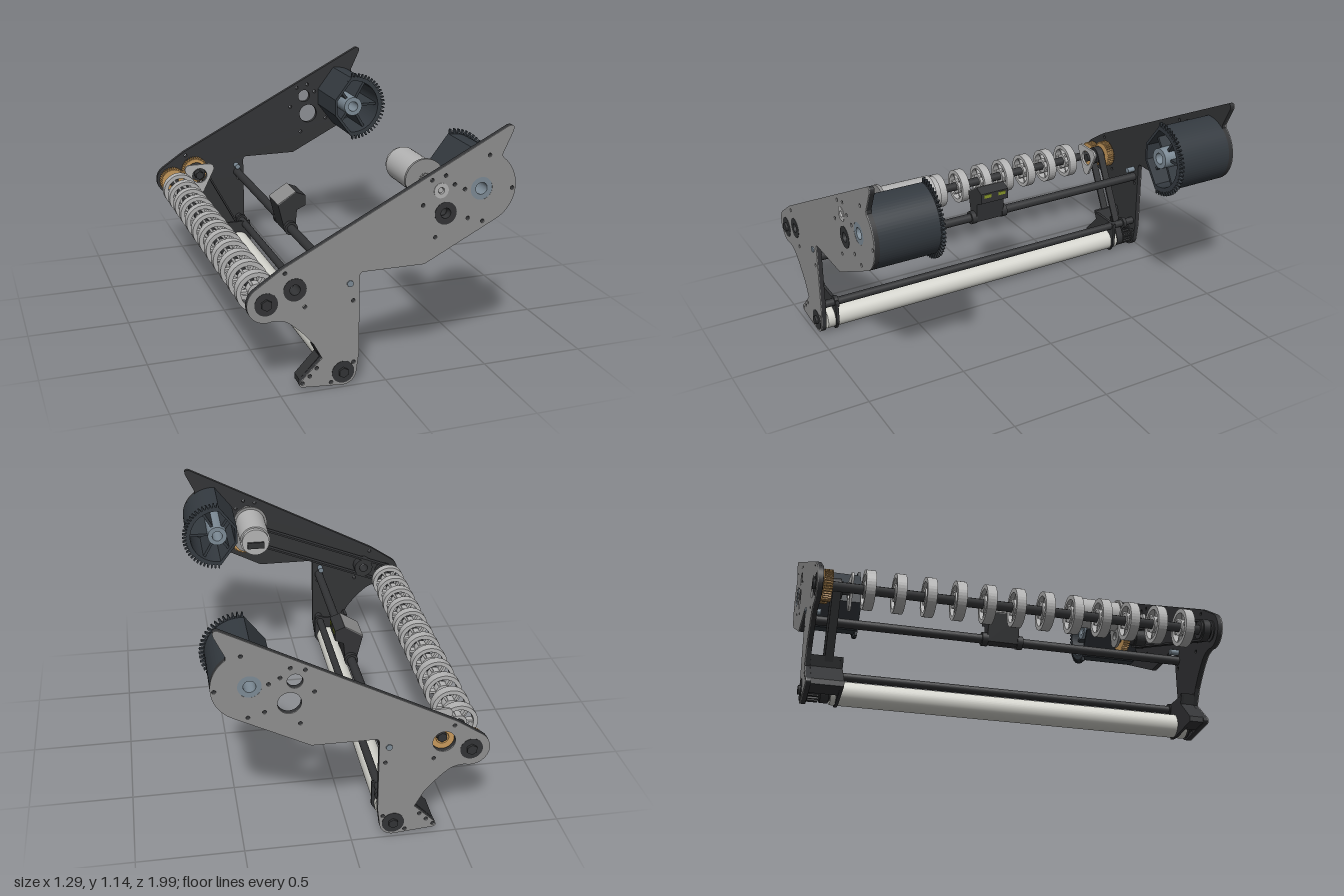
import * as THREE from 'three';

const DARK = 0x333436, STEEL = 0x8f8f8f, LIGHT = 0xb4b4b4, BRASS = 0xc89a5c, SLATE = 0x343a40, BLUE = 0x7d8b96;
const mats = {};
const mat = (c) => (mats[c] ??= new THREE.MeshStandardMaterial({ color: c }));
const rad = THREE.MathUtils.degToRad;

// Pivot points in the side profile
const WHEEL = [-0.556, 0.444], IDLER = [-0.425, 0.496], ROLLER = [-0.2, 0.068];
const DRIVE = [0.28, 0.77], MOTOR = [0.255, 0.878], DRUM = [0.452, 0.868];

function circle(shape, [x, y], r) {
  const p = new THREE.Path();
  p.absarc(x, y, r, 0, Math.PI * 2, false);
  shape.holes.push(p);
  return shape;
}
function disc(c, r, hole = 0) {
  const s = new THREE.Shape();
  s.absarc(c[0], c[1], r, 0, Math.PI * 2, false);
  return hole ? circle(s, c, hole) : s;
}
function poly(pts) {
  return new THREE.Shape(pts.map(([x, y]) => new THREE.Vector2(x, y)));
}
// Toothed outline running from angle a0 to a1
function teeth([cx, cy], rIn, rOut, n, a0 = 0, a1 = Math.PI * 2) {
  const pts = [], step = (a1 - a0) / n;
  for (let i = 0; i < n; i++)
    for (const [f, r] of [[0, rIn], [0.3, rIn], [0.45, rOut], [0.75, rOut], [0.9, rIn]]) {
      const a = a0 + (i + f) * step;
      pts.push([cx + r * Math.cos(a), cy + r * Math.sin(a)]);
    }
  return pts;
}

export function createModel() {
  const root = new THREE.Group();

  // Extrudes a side profile between two z positions
  function slab(name, shape, za, zb, color, parent = root) {
    const z0 = Math.min(za, zb);
    const g = new THREE.ExtrudeGeometry(shape, { depth: Math.abs(zb - za), bevelEnabled: false, curveSegments: 20 });
    const m = new THREE.Mesh(g.translate(0, 0, z0), mat(color));
    m.name = name;
    parent.add(m);
    return m;
  }
  function rod(name, [x, y], r, za, zb, color, sides = 32, parent = root) {
    const g = new THREE.CylinderGeometry(r, r, Math.abs(zb - za), sides).rotateX(Math.PI / 2);
    const m = new THREE.Mesh(g, mat(color));
    m.position.set(x, y, (za + zb) / 2);
    m.name = name;
    parent.add(m);
    return m;
  }
  // Closed belt round two equal pulleys
  function belt(name, p, q, r, za, zb) {
    const a = Math.atan2(q[1] - p[1], q[0] - p[0]), h = Math.PI / 2;
    const loop = (path, k) => {
      path.absarc(q[0], q[1], k, a - h, a + h, false);
      path.absarc(p[0], p[1], k, a + h, a + 3 * h, false);
      path.closePath();
      return path;
    };
    const s = loop(new THREE.Shape(), r);
    s.holes.push(loop(new THREE.Path(), r - 0.01));
    slab(name, s, za, zb, DARK);
    for (const c of [p, q]) slab(name + 'Pulley', disc(c, r - 0.01, 0.022), za - 0.008, zb + 0.008, DARK);
  }

  // Side plate outline with its holes
  const plate = new THREE.Shape();
  plate.moveTo(-0.48, 0.6);
  plate.lineTo(0.575, 1.147);
  plate.quadraticCurveTo(0.608, 1.155, 0.597, 1.12);
  plate.lineTo(0.55, 1.02);
  plate.absarc(...DRUM, 0.17, rad(54), rad(-65), true);
  plate.lineTo(0.184, 0.54);
  plate.lineTo(-0.108, 0.54);
  plate.quadraticCurveTo(-0.125, 0.54, -0.125, 0.515);
  plate.lineTo(-0.125, 0.15);
  plate.absarc(...ROLLER, 0.064, rad(-5), rad(-95), true);
  plate.lineTo(-0.395, 0.021);
  plate.quadraticCurveTo(-0.415, 0.03, -0.4, 0.05);
  plate.lineTo(-0.3, 0.15);
  plate.lineTo(-0.34, 0.225);
  plate.quadraticCurveTo(-0.4, 0.3, -0.45, 0.338);
  plate.quadraticCurveTo(-0.48, 0.362, -0.53, 0.361);
  plate.absarc(...WHEEL, 0.087, rad(-80), rad(-235), true);
  plate.closePath();
  for (const c of [WHEEL, IDLER, ROLLER, DRIVE, DRUM]) circle(plate, c, 0.053);
  circle(plate, MOTOR, 0.035);
  const bolts = [[0.486, 1.02], [0.605, 0.856], [0.463, 0.713], [0.39, 0.735], [0.37, 0.873], [0.17, 0.818],
    [0.233, 0.662], [-0.47, 0.578], [-0.38, 0.41], [-0.155, 0.41], [-0.15, 0.11], [-0.325, 0.105],
    [-0.358, 0.07], [-0.392, 0.04], [-0.257, 0.025], [0.21, 0.93], [0.275, 0.945], [0.32, 0.9]];
  for (const b of bolts) circle(plate, b, 0.009);

  // D-shaped drum outline, and its toothed rim
  const dCorners = [[DRUM[0] - 0.11, DRUM[1] + 0.045], [DRUM[0] - 0.11, DRUM[1] - 0.045]];
  function dOutline(k) {
    const pts = [];
    for (let i = 0; i <= 40; i++) {
      const a = rad(-95 + 190 * i / 40);
      pts.push([DRUM[0] + 0.17 * k * Math.cos(a), DRUM[1] + 0.17 * k * Math.sin(a)]);
    }
    for (const [x, y] of dCorners) pts.push([DRUM[0] + (x - DRUM[0]) * k, DRUM[1] + (y - DRUM[1]) * k]);
    return poly(pts);
  }
  const shell = dOutline(1), rim = poly([...teeth(DRUM, 0.172, 0.193, 29, rad(-95), rad(95)), ...dCorners]);
  for (const s of [shell, rim]) s.holes.push(dOutline(0.88));

  for (const s of [1, -1]) {
    const side = new THREE.Group();
    side.name = s > 0 ? 'leftSide' : 'rightSide';
    root.add(side);
    slab('sidePlate', plate, s * 0.955, s * 0.977, DARK, side);
    slab('plateSkin', plate, s * 0.977, s * 0.981, STEEL, side);

    // Winding drum with hub, spokes and gear rim
    slab('drumShell', shell, s * 0.955, s * 0.66, SLATE, side);
    slab('drumGear', rim, s * 0.66, s * 0.645, SLATE, side);
    slab('drumFloor', circle(dOutline(0.9), DRUM, 0.03), s * 0.955, s * 0.93, SLATE, side);
    slab('drumHub', disc(DRUM, 0.053, 0.028), s * 0.98, s * 0.65, BLUE, side);
    for (const deg of [0, 60, -60, 125, -125]) {
      const len = Math.abs(deg) > 90 ? 0.06 : 0.11;
      const spoke = new THREE.Mesh(new THREE.BoxGeometry(len, 0.014, 0.25).translate(0.048 + len / 2, 0, 0), mat(SLATE));
      spoke.name = 'drumSpoke';
      spoke.position.set(...DRUM, s * 0.805);
      spoke.rotation.z = rad(deg);
      side.add(spoke);
    }

    // Bearings
    for (const c of [WHEEL, ROLLER]) slab('bearing', disc(c, 0.053, 0.02), s * 0.95, s * 0.983, DARK, side);
    if (s > 0) for (const c of [IDLER, DRIVE]) slab('bearing', disc(c, 0.053, 0.024), 0.9, 0.983, DARK, side);

    // Foot: inner cheek, sloping web
    const zi = s > 0 ? 0.885 : -0.805;
    const foot = poly([[-0.13, 0.19], [-0.13, 0.06], [-0.16, 0.012], [-0.22, 0.006], [-0.4, 0.024], [-0.4, 0.05],
      [-0.305, 0.15], [-0.325, 0.19]]);
    slab('footCheek', circle(foot, ROLLER, 0.045), zi, zi + s * 0.015, DARK, side);
    slab('footWeb', poly([[-0.4, 0.024], [-0.4, 0.05], [-0.305, 0.15], [-0.325, 0.2], [-0.31, 0.2], [-0.29, 0.15],
      [-0.375, 0.045], [-0.3, 0.03], [-0.3, 0.018]]), zi, s * 0.955, DARK, side);
    rod('tieCollar', [-0.16, 0.17], 0.032, s * 0.9, s * 0.88, DARK, 24, side);
    rod('tieBolt', [-0.17, 0.493], 0.015, s * 0.91, s * 0.987, BLUE, 16, side);
  }

  // Cross members and the rubber-coated roller
  rod('upperTie', [-0.163, 0.45], 0.023, -0.955, 0.955, DARK);
  rod('lowerTie', [-0.16, 0.17], 0.02, -0.955, 0.955, DARK);
  rod('rollerTube', ROLLER, 0.058, -0.845, 0.94, 0xd6d6cf, 40);
  rod('rollerShaft', ROLLER, 0.024, -0.995, 0.995, DARK, 6);
  slab('rollerGear', poly(teeth(ROLLER, 0.044, 0.052, 20)), -0.95, -0.9, DARK);
  rod('wheelShaft', WHEEL, 0.026, -0.995, 0.995, DARK, 6);

  // Spoked intake wheels
  for (let i = 0; i < 12; i++) {
    const z = -0.74 + i * 0.141, wheel = new THREE.Group();
    wheel.name = 'intakeWheel';
    wheel.position.set(...WHEEL, z);
    root.add(wheel);
    slab('tyre', disc([0, 0], 0.093, 0.072), -0.023, 0.023, LIGHT, wheel);
    slab('hub', disc([0, 0], 0.04, 0.023), -0.023, 0.023, LIGHT, wheel);
    for (let k = 0; k < 6; k++) {
      const spoke = new THREE.Mesh(new THREE.BoxGeometry(0.04, 0.012, 0.03).translate(0.056, 0, 0), mat(LIGHT));
      spoke.name = 'wheelSpoke';
      spoke.rotation.z = k * Math.PI / 3;
      wheel.add(spoke);
    }
  }

  // Right-hand gear pair, belt to the roller and the idler bracket
  for (const c of [WHEEL, IDLER]) slab('transferGear', circle(poly(teeth(c, 0.066, 0.074, 36)), c, 0.03), -0.948, -0.908, BRASS);
  rod('idlerShaft', IDLER, 0.024, -0.95, -0.8, DARK, 6);
  belt('rollerBelt', IDLER, ROLLER, 0.052, -0.892, -0.852);
  const flange = new THREE.Shape();
  [150, 30, -90].forEach((d) => flange.absarc(IDLER[0] + 0.065 * Math.cos(rad(d)), IDLER[1] + 0.075 * Math.sin(rad(d)),
    0.028, rad(d + 60), rad(d - 60), true));
  flange.closePath();
  slab('idlerFlange', circle(flange, IDLER, 0.042), -0.812, -0.8, LIGHT);

  // Left-hand drive: motor, reduction gear and long belt
  belt('driveBelt', WHEEL, DRIVE, 0.055, 0.9, 0.935);
  slab('driveGear', circle(poly(teeth(DRIVE, 0.082, 0.09, 44)), DRIVE, 0.024), 0.815, 0.85, BRASS);
  slab('driveHub', disc(DRIVE, 0.04, 0.024), 0.8, 0.94, DARK);
  slab('motorPinion', poly(teeth(MOTOR, 0.024, 0.031, 14)), 0.805, 0.86, LIGHT);
  rod('motorShaft', MOTOR, 0.012, 0.8, 0.975, LIGHT);
  slab('motorBushing', disc(MOTOR, 0.035, 0.015), 0.94, 0.983, LIGHT);
  const mount = new THREE.Shape();
  mount.absarc(...MOTOR, 0.095, rad(-10), rad(190), false);
  mount.absarc(...DRIVE, 0.065, rad(200), rad(340), false);
  mount.closePath();
  slab('motorMount', circle(mount, DRIVE, 0.024), 0.8, 0.785, STEEL);
  rod('motorBody', MOTOR, 0.082, 0.785, 0.535, LIGHT, 40);
  rod('motorCap', MOTOR, 0.074, 0.535, 0.51, LIGHT, 40);
  const port = new THREE.Mesh(new THREE.BoxGeometry(0.09, 0.035, 0.02), mat(DARK));
  port.name = 'motorPort';
  port.position.set(MOTOR[0], MOTOR[1] - 0.015, 0.508);
  root.add(port);

  // Sensor box clamped to the upper tie
  const box = poly([[-0.19, 0.43], [-0.135, 0.43], [-0.125, 0.54], [-0.08, 0.56], [-0.08, 0.615], [-0.13, 0.635], [-0.225, 0.575]]);
  slab('sensorBox', box, -0.08, 0.08, DARK);
  const lid = poly([[-0.13, 0.635], [-0.13, 0.639], [-0.227, 0.578], [-0.225, 0.573]]);
  slab('sensorLid', lid, -0.08, 0.08, STEEL);
  for (const s of [1, -1]) {
    rod('sensorClamp', [-0.163, 0.45], 0.035, s * 0.075, s * 0.105, DARK, 24);
    const lamp = new THREE.Mesh(new THREE.BoxGeometry(0.006, 0.018, 0.04), mat(0x8a9a2a));
    lamp.name = 'sensorLamp';
    lamp.position.set(-0.08, 0.598, s * 0.042);
    root.add(lamp);
  }
  return root;
}
